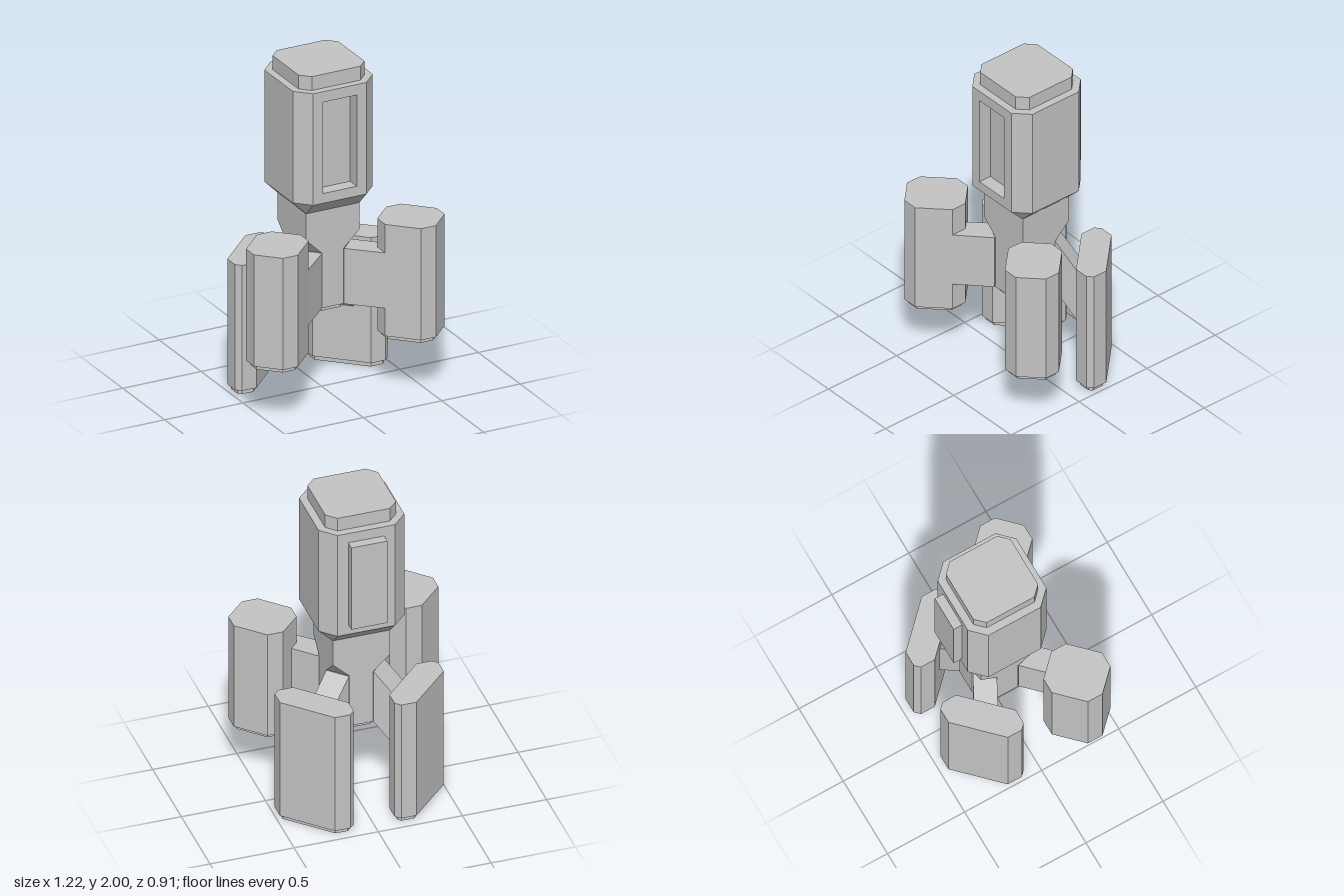
import * as THREE from 'three';

const BODY_Z = -0.035; // the column sits slightly behind the origin

// Chamfered rectangle in plan at height y; chamfer 0 gives a square.
function oct(cx, cz, y, hx, hz, c, angle = 0) {
  const cs = Math.cos(angle), sn = Math.sin(angle);
  return [
    [hx - c, hz], [hx, hz - c], [hx, c - hz], [hx - c, -hz],
    [c - hx, -hz], [-hx, c - hz], [-hx, hz - c], [c - hx, hz],
  ].map(([a, b]) => [cx + a * cs - b * sn, y, cz + a * sn + b * cs]);
}

// Faceted solid through convex rings listed from bottom to top.
function loft(rings, capBottom = true, capTop = true) {
  const n = rings[0].length;
  let area = 0;
  rings[0].forEach((p, j) => {
    const q = rings[0][(j + 1) % n];
    area += p[0] * q[2] - q[0] * p[2];
  });
  if (area > 0) rings = rings.map((r) => [...r].reverse());
  const pos = [];
  const A = new THREE.Vector3(), B = new THREE.Vector3(), C = new THREE.Vector3();
  const tri = (a, b, c) => {
    A.fromArray(a); B.fromArray(b).sub(A); C.fromArray(c).sub(A);
    if (B.cross(C).length() > 1e-7) pos.push(...a, ...b, ...c);
  };
  for (let i = 0; i < rings.length - 1; i++) {
    for (let j = 0; j < n; j++) {
      const k = (j + 1) % n, lo = rings[i], hi = rings[i + 1];
      tri(lo[j], lo[k], hi[k]);
      tri(lo[j], hi[k], hi[j]);
    }
  }
  const top = rings[rings.length - 1], bottom = rings[0];
  for (let j = 1; j < n - 1; j++) {
    if (capTop) tri(top[0], top[j], top[j + 1]);
    if (capBottom) tri(bottom[0], bottom[j + 1], bottom[j]);
  }
  const g = new THREE.BufferGeometry();
  g.setAttribute('position', new THREE.Float32BufferAttribute(pos, 3));
  g.computeVertexNormals();
  return g;
}

const mirror = (rings, s) => rings.map((r) => r.map(([x, y, z]) => [s * x, y, z]));

function rectPoints(x0, y0, x1, y1) {
  return [[x0, y0], [x1, y0], [x1, y1], [x0, y1]].map(([x, y]) => new THREE.Vector2(x, y));
}

export function createModel() {
  const model = new THREE.Group();
  const grey = new THREE.MeshStandardMaterial({ color: 0xc4c4c4, flatShading: true });
  grey.name = 'plain grey';
  const add = (name, geometry, parent = model) => {
    const mesh = new THREE.Mesh(geometry, grey);
    mesh.name = name;
    parent.add(mesh);
    return mesh;
  };
  const ring = (y, h, hz, c) => oct(0, BODY_Z, y, h, hz, c);

  // Neck: chamfered below, square above, flaring out to the body
  add('neck', loft([
    ring(0.545, 0.17, 0.17, 0.1),
    ring(0.885, 0.17, 0.17, 0.1),
    ring(0.98, 0.17, 0.17, 0),
    ring(1.145, 0.17, 0.17, 0),
    ring(1.23, 0.255, 0.255, 0.085),
  ], true, false));
  add('neckBase', loft([ring(0.52, 0.15, 0.15, 0.09), ring(0.545, 0.15, 0.15, 0.09)]));

  // Body: octagonal plan with a notch in front, closed by a window frame
  const z0 = 0.14, zf = 0.22, zb = -0.29;
  const plan = new THREE.Shape([
    [0.17, z0], [0.17, zf], [0.255, 0.135], [0.255, -0.205], [0.17, zb],
    [-0.17, zb], [-0.255, -0.205], [-0.255, 0.135], [-0.17, zf], [-0.17, z0],
  ].map(([x, z]) => new THREE.Vector2(x, -z)));
  const bodyGeometry = new THREE.ExtrudeGeometry(plan, { depth: 0.685, bevelEnabled: false });
  bodyGeometry.rotateX(-Math.PI / 2).translate(0, 1.23, 0);
  add('body', bodyGeometry);

  const frame = new THREE.Shape(rectPoints(-0.17, 1.23, 0.17, 1.915));
  frame.holes.push(new THREE.Path(rectPoints(-0.108, 1.29, 0.108, 1.85)));
  const frameGeometry = new THREE.ExtrudeGeometry(frame, { depth: zf - z0, bevelEnabled: false });
  add('windowFrame', frameGeometry.translate(0, 0, z0));

  add('topCap', loft([ring(1.915, 0.21, 0.21, 0.055), ring(2, 0.21, 0.21, 0.055)]));
  add('backPanel', new THREE.BoxGeometry(0.214, 0.555, 0.07)).position.set(0, 1.575, -0.31);

  // Pods: diagonal chamfered columns, each standing on a slightly inset plate
  const pods = [
    { name: 'front', x: 0.426, z: 0.271, hx: 0.172, hz: 0.152, c: 0.067, y: [0.35, 0.375, 1.06] },
    { name: 'back', x: 0.304, z: -0.274, hx: 0.237, hz: 0.085, c: 0.064, y: [0, 0.03, 0.8] },
  ];
  // Arms: [x, z, drop in height] in plan, from the neck chamfer into the pod
  const arms = {
    front: [[0.07, 0.14, 0], [0.17, 0.04, 0], [0.34, 0.21, 0], [0.245, 0.305, 0]],
    back: [[0.07, -0.2, 0], [0.17, -0.1, 0], [0.294, -0.164, 0.178], [0.194, -0.264, 0.178]],
  };
  for (const [side, s] of [['Left', 1], ['Right', -1]]) {
    for (const p of pods) {
      const group = new THREE.Group();
      group.name = p.name + side + 'Leg';
      model.add(group);
      const slice = (y, inset) => oct(p.x, p.z, y, p.hx - inset, p.hz - inset,
        p.c - inset * 0.586, Math.PI / 4);
      const [y0, y1, y2] = p.y;
      add('pod', loft(mirror([slice(y1, 0), slice(y2, 0)], s)), group);
      add('footPlate', loft(mirror([slice(y0, 0.02), slice(y1, 0.02)], s)), group);
      const armRing = (y) => arms[p.name].map(([x, z, drop]) => [x, y - drop, z]);
      add('arm', loft(mirror([armRing(0.545), armRing(0.885)], s)), group);
    }
  }
  return model;
}
